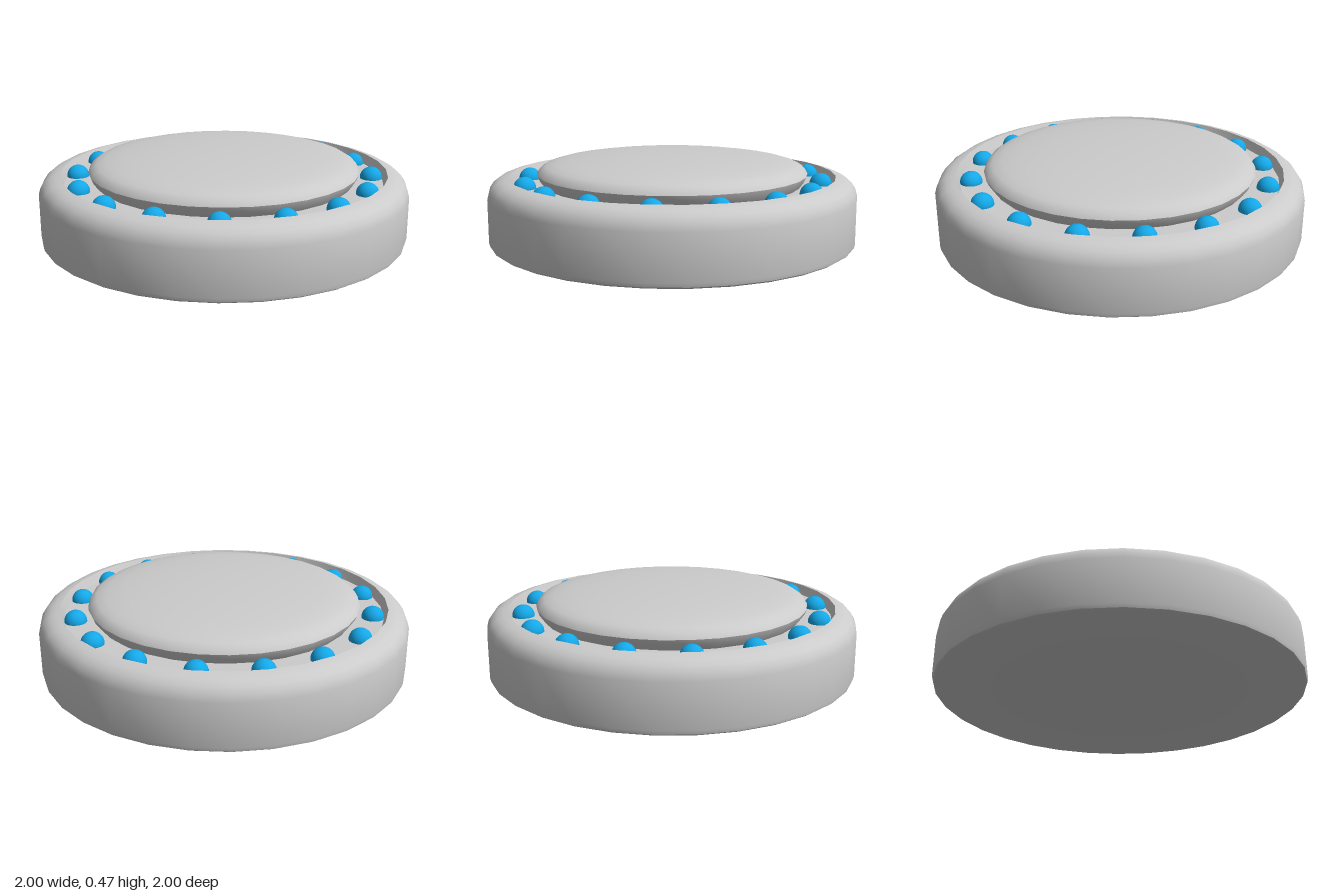
import * as THREE from 'three';
import { toCreasedNormals } from 'three/addons/utils/BufferGeometryUtils.js';

const grey = new THREE.MeshStandardMaterial({ color: 0xcccccc });
const blue = new THREE.MeshStandardMaterial({ color: 0x14a8e8 });

// Turned part from [radius, height] pairs
function turned(name, points) {
  const profile = points.map(([r, y]) => new THREE.Vector2(r, y));
  const geometry = toCreasedNormals(new THREE.LatheGeometry(profile, 32), 0.7);
  const mesh = new THREE.Mesh(geometry, grey);
  mesh.name = name;
  return mesh;
}

export function createModel() {
  const model = new THREE.Group();
  model.name = 'ringedDisc';

  // Round base with a rolled rim and a sunken channel
  model.add(turned('base', [
    [0, 0], [0.98, 0], [0.995, 0.01], [1, 0.03], [1, 0.26], [0.99, 0.295],
    [0.97, 0.325], [0.94, 0.345], [0.91, 0.355], [0.885, 0.36],
    [0.865, 0.31], [0, 0.31],
  ]));

  // Domed cap in the middle
  model.add(turned('cap', [
    [0.7, 0.31], [0.725, 0.345], [0.735, 0.37], [0.72, 0.395], [0.69, 0.413],
    [0.64, 0.427], [0.55, 0.441], [0.4, 0.454], [0.23, 0.463], [0, 0.465],
  ]));

  // Ring of beads in the channel
  const beads = new THREE.Group();
  beads.name = 'beads';
  const beadGeometry = new THREE.SphereGeometry(0.06, 24, 16);
  for (let i = 0; i < 16; i++) {
    const angle = (i / 16) * Math.PI * 2;
    const bead = new THREE.Mesh(beadGeometry, blue);
    bead.name = 'bead';
    bead.position.set(0.805 * Math.cos(angle), 0.313, 0.805 * Math.sin(angle));
    beads.add(bead);
  }
  model.add(beads);
  return model;
}
